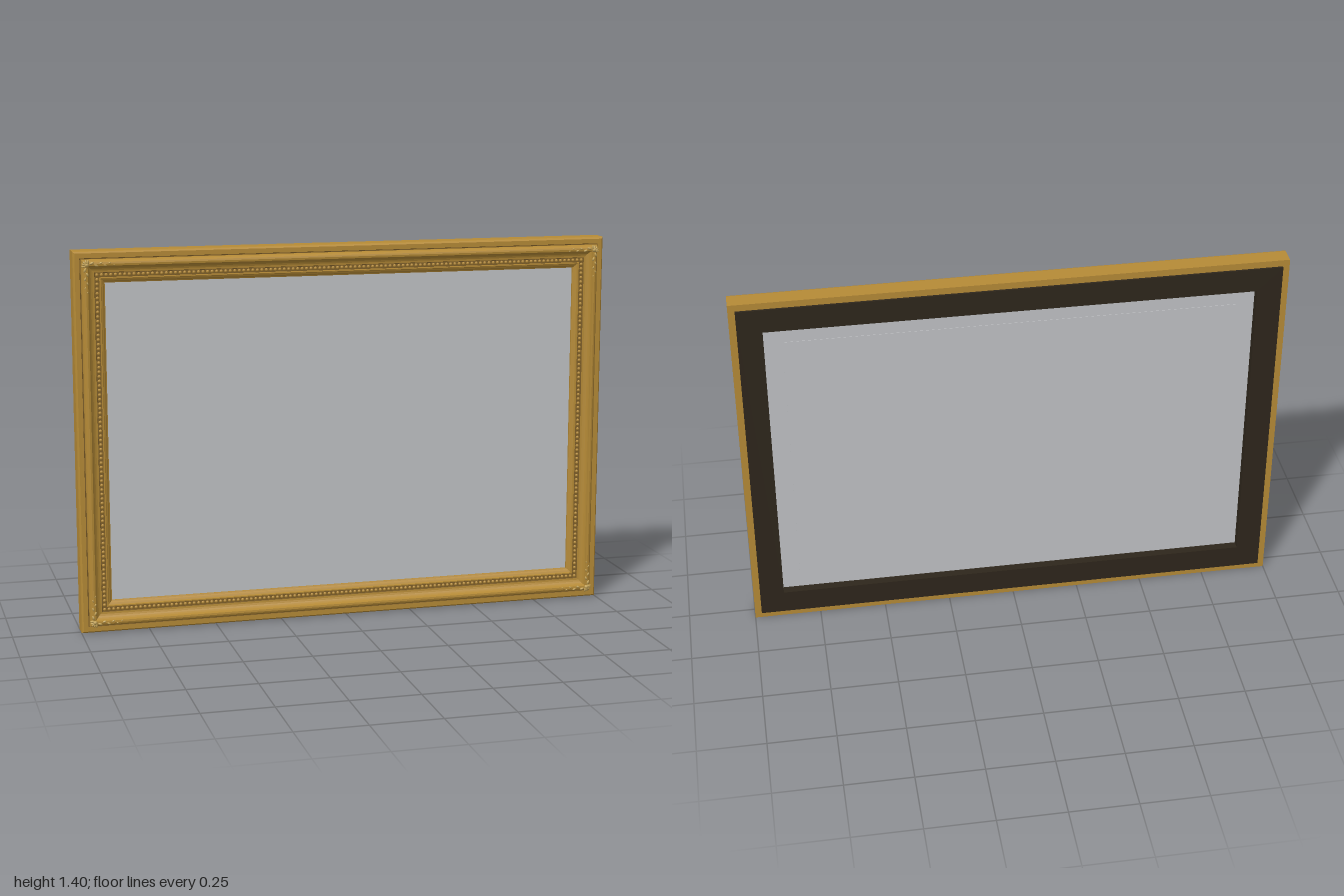
import * as THREE from 'three';
import { mergeGeometries } from 'three/addons/utils/BufferGeometryUtils.js';

const W = 2, H = 1.4;

const makeMaterial = (name, color) => {
  const m = new THREE.MeshStandardMaterial({ color });
  m.name = name;
  return m;
};

// Sweeps a moulding profile of [inset, z] points round the rectangle with mitred corners.
// Profile order: outer wall, front, inner wall, back.
function mitredRing(profile) {
  const pos = [];
  const corner = ([d, z], i) => [
    (i === 1 || i === 2 ? 1 : -1) * (W / 2 - d),
    H / 2 + (i >= 2 ? 1 : -1) * (H / 2 - d), z];
  for (let s = 0; s < profile.length - 1; s++) {
    for (let i = 0; i < 4; i++) {
      const j = (i + 1) % 4;
      const a = corner(profile[s], i), b = corner(profile[s], j);
      const c = corner(profile[s + 1], j), d = corner(profile[s + 1], i);
      pos.push(...a, ...b, ...c, ...a, ...c, ...d);
    }
  }
  const g = new THREE.BufferGeometry();
  g.setAttribute('position', new THREE.Float32BufferAttribute(pos, 3));
  g.computeVertexNormals();
  return g;
}

// A small oval bump, optionally turned about z
function bump(x, y, z, sx, sy, sz, turn = 0) {
  const g = new THREE.SphereGeometry(1, 8, 6);
  g.scale(sx, sy, sz);
  g.rotateZ(turn);
  g.translate(x, y, z);
  return g;
}

export function createModel() {
  const gold = makeMaterial('gold', 0xb58a36);
  const deepGold = makeMaterial('deep gold', 0x80602a);
  const paleGold = makeMaterial('pale gold', 0xc2a257);
  const darkWood = makeMaterial('dark wood', 0x2e261b);
  const silver = makeMaterial('silver', 0xc0c2c5);

  const model = new THREE.Group();
  model.name = 'pictureFrame';
  const add = (name, geometry, material, parent = model) => {
    const mesh = new THREE.Mesh(geometry, material);
    mesh.name = name;
    parent.add(mesh);
    return mesh;
  };

  // Outer moulding: stepped side, rounded crest and hollow running inwards
  const outer = [[0.03, -0.05], [0, -0.05], [0, 0.014], [0.002, 0.02], [0.007, 0.025], [0.024, 0.025]];
  const crest = [[0.028, 0.025], [0.029, 0.034], [0.032, 0.042], [0.037, 0.048], [0.043, 0.05], [0.05, 0.049]];
  for (let i = 1; i <= 6; i++) {
    const t = (i / 6) * Math.PI / 2;
    crest.push([0.05 + 0.026 * (1 - Math.cos(t)), 0.049 - 0.027 * Math.sin(t)]);
  }
  add('outerMoulding', mitredRing(outer), gold);
  add('outerGroove', mitredRing([[0.024, 0.025], [0.025, 0.022], [0.028, 0.022], [0.028, 0.025]]), deepGold);
  add('crestMoulding', mitredRing(crest), gold);

  // Bead channel and inner lip
  add('beadChannel', mitredRing([[0.076, 0.022], [0.077, 0.018], [0.094, 0.018]]), deepGold);
  add('innerLip', mitredRing([
    [0.094, 0.018], [0.095, 0.021], [0.099, 0.021], [0.101, 0.015], [0.107, 0.012],
    [0.111, 0.008], [0.115, 0.006], [0.115, -0.004]]), gold);

  // Row of beads along all four sides
  const beads = [];
  const inset = 0.0855, r = 0.0065;
  const bx = W / 2 - inset, by = H / 2 - inset;
  const nx = 110, ny = 74;
  for (const s of [-1, 1]) {
    for (let i = 0; i <= nx; i++)
      beads.push(new THREE.SphereGeometry(r, 6, 4).translate(-bx + 2 * bx * i / nx, H / 2 + s * by, 0.02));
    for (let i = 1; i < ny; i++)
      beads.push(new THREE.SphereGeometry(r, 6, 4).translate(s * bx, H / 2 - by + 2 * by * i / ny, 0.02));
  }
  add('beading', mergeGeometries(beads), gold);

  // Corner ornaments: a small shell with leaves and shrinking buds along each arm
  for (const sx of [-1, 1]) for (const sy of [-1, 1]) {
    const parts = [];
    const put = (u, v, z, a, b, c, turn = 0) => // u, v: distances in from the corner
      parts.push(bump(sx * (W / 2 - u), H / 2 + sy * (H / 2 - v), z, a, b, c, turn * sx * sy));
    put(0.046, 0.046, 0.05, 0.008, 0.008, 0.008);
    for (let k = -2; k <= 2; k++) {
      const t = Math.PI / 4 + k * 0.42;
      put(0.05 - 0.013 * Math.cos(t), 0.05 - 0.013 * Math.sin(t), 0.049, 0.011, 0.004, 0.007, t);
    }
    for (let k = 0; k < 6; k++) {
      const d = 0.064 + k * 0.016, f = 1 - k * 0.11;
      const side = k % 2 ? 0.004 : -0.004;
      put(d, 0.044 + side, 0.049, 0.009 * f, 0.0045 * f, 0.006 * f, side * 90);
      put(0.044 + side, d, 0.049, 0.0045 * f, 0.009 * f, 0.006 * f, -side * 90);
    }
    add('cornerOrnament', mergeGeometries(parts), paleGold);
  }

  // Mirror panel, with a thin plate on its back
  const panel = (name, d, z, depth) => {
    const g = new THREE.BoxGeometry(W - 2 * d, H - 2 * d, depth);
    add(name, g, silver).position.set(0, H / 2, z);
  };
  panel('mirrorPanel', 0.1, -0.014, 0.024);
  panel('backPlate', 0.182, -0.0265, 0.002);

  // Dark backing ring
  add('backingRing', mitredRing([
    [0.115, -0.026], [0.115, -0.058], [0.025, -0.058], [0.025, -0.05]]), darkWood);

  return model;
}
